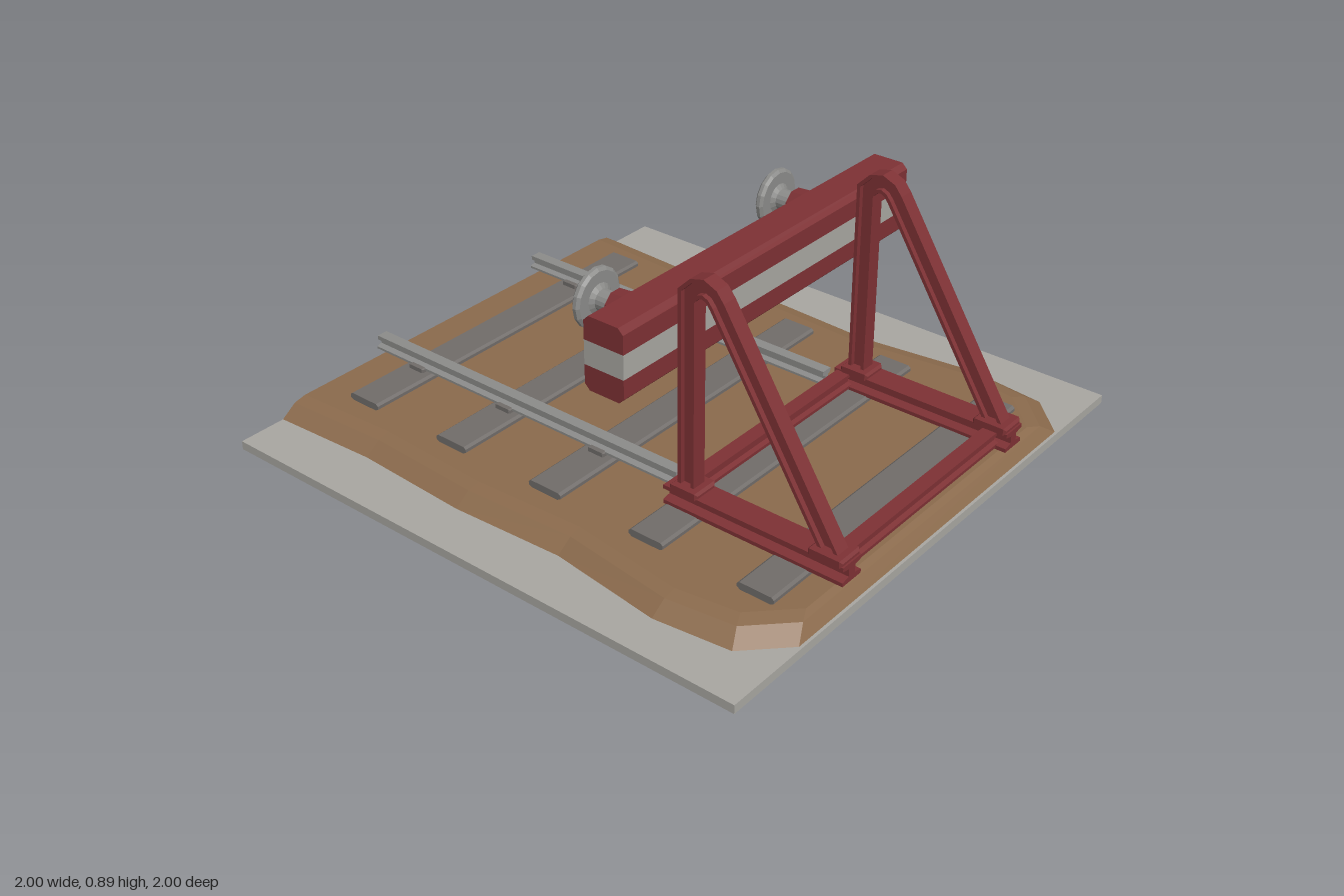
import * as THREE from 'three';

const mat = (name, color) => {
  const m = new THREE.MeshStandardMaterial({ color, flatShading: true });
  m.name = name;
  return m;
};

export function createModel() {
  const stone = mat('paleGrey', 0xa8a6a1);
  const earth = mat('earthBrown', 0x8a6a4c);
  const tie = mat('sleeperGrey', 0x706c69);
  const steel = mat('steelGrey', 0x8b8b89);
  const red = mat('darkRed', 0x7d3134);

  const root = new THREE.Group();
  root.name = 'trackEndStop';
  const add = (name, geo, material, x = 0, y = 0, z = 0, parent = root) => {
    const m = new THREE.Mesh(geo, material);
    m.name = name;
    m.position.set(x, y, z);
    parent.add(m);
  };
  const shape = pts => new THREE.Shape(pts.map(p => new THREE.Vector2(p[0], p[1])));

  // Outline of [x, y] points extruded along z and centred
  const extrudeZ = (pts, length) =>
    new THREE.ExtrudeGeometry(shape(pts), { depth: length, bevelEnabled: false }).translate(0, 0, -length / 2);
  // Outline of [z, y] points extruded along x and centred
  const extrudeX = (pts, width) => extrudeZ(pts, width).rotateY(-Math.PI / 2);
  // Box with chamfered edges
  const chamferBox = (w, h, d, c) => {
    const a = w / 2 - c, b = h / 2 - c;
    const g = new THREE.ExtrudeGeometry(shape([[-a, -b], [a, -b], [a, b], [-a, b]]), {
      depth: d - 2 * c, bevelEnabled: true, bevelSize: c, bevelThickness: c, bevelSegments: 1
    });
    return g.translate(0, 0, c - d / 2);
  };
  const mirrored = half => half.concat(half.map(p => [-p[0], ...p.slice(1)]).reverse());
  // I section: flange width w, height h, flange thickness t, web s
  const iSection = (w, h, t, s) => mirrored([[w / 2, 0], [w / 2, t], [s / 2, t * 1.5],
    [s / 2, h - t * 1.5], [w / 2, h - t], [w / 2, h]]);

  add('groundSlab', new THREE.BoxGeometry(2, 0.03, 2), stone, 0, 0.015, 0);

  // Ballast bed: three stacked outlines with a flat top
  const edge = [[0.83, -1], [0.81, -0.62], [0.83, -0.2], [0.81, 0.2], [0.86, 0.6], [0.83, 0.86], [0.70, 0.99]];
  const ring = (inset, y) =>
    mirrored(edge.map(([x, z]) => [x - inset, y, z > 0.8 ? z - inset * 0.5 : z]));
  const rings = [ring(0, 0.03), ring(0.055, 0.068), ring(0.1, 0.077)];
  const n = rings[0].length, idx = [];
  for (let k = 0; k < 2; k++) {
    for (let i = 0; i < n; i++) {
      const a = k * n + i, b = k * n + (i + 1) % n;
      idx.push(a, a + n, b, b, a + n, b + n);
    }
  }
  for (let i = 0; i < n / 2 - 1; i++) {
    const a = 2 * n + i, d = 3 * n - 1 - i;
    idx.push(a, d, a + 1, a + 1, d, d - 1);
  }
  const bed = new THREE.BufferGeometry();
  bed.setAttribute('position', new THREE.Float32BufferAttribute(rings.flat(2), 3));
  bed.setIndex(idx);
  const bedFlat = bed.toNonIndexed();
  bedFlat.computeVertexNormals();
  add('ballastBed', bedFlat, earth);

  // Sleepers and rail chairs
  const sleeperPts = mirrored([[0.04, 0.07], [0.065, 0.084], [0.065, 0.095], [0.056, 0.102]]);
  for (const z of [-0.8, -0.4, 0, 0.4, 0.8]) {
    add('sleeper', extrudeX(sleeperPts, 1.3), tie, 0, 0, z);
    if (z < 0.3) for (const s of [-1, 1])
      add('railChair', chamferBox(0.08, 0.02, 0.065, 0.004), tie, s * 0.38, 0.107, z);
  }

  // Rails: wide foot, thin web, thick head
  const railPts = mirrored([[0.026, 0.108], [0.026, 0.116], [0.007, 0.122],
    [0.007, 0.135], [0.02, 0.14], [0.02, 0.155]]);

  // Post, rounded crown and brace follow one path of [z, y] points
  const path = [[0.40, 0.165], [0.40, 0.82], [0.43, 0.85], [0.46, 0.858], [0.49, 0.845], [0.51, 0.82], [0.922, 0.165]]
    .map(p => new THREE.Vector2(...p));
  const normal = (a, b) => new THREE.Vector2(a.y - b.y, b.x - a.x).normalize();
  const offset = d => path.map((p, i) => {
    const n0 = i > 0 ? normal(path[i - 1], p) : normal(p, path[1]);
    const n1 = i < path.length - 1 ? normal(p, path[i + 1]) : n0;
    const m = n0.clone().add(n1).normalize();
    const q = p.clone().addScaledVector(m, d / m.dot(n0));
    return [q.x, q.y];
  });
  const band = (a, b, width) => extrudeX([...offset(a), ...offset(b).reverse()], width);

  // Bumper head: flat disc with chamfered rim, and its stem
  const headPts = [[0, 0.115], [0.035, 0.115], [0.035, 0.065], [0.05, 0.054], [0.088, 0.054],
    [0.098, 0.046], [0.098, 0.034], [0.088, 0.025], [0, 0.022]].map(p => new THREE.Vector2(p[0], -p[1]));
  const sleeve = (r0, r1, len) =>
    new THREE.CylinderGeometry(r0, r1, len, 8).rotateY(Math.PI / 8).rotateX(-Math.PI / 2);

  for (const s of [-1, 1]) {
    const side = s > 0 ? 'left' : 'right';
    add('rail', extrudeZ(railPts, 1.31), steel, s * 0.38, 0, -0.345);

    const frame = new THREE.Group();
    frame.name = side + 'Frame';
    frame.position.x = s * 0.44;
    root.add(frame);
    add('baseBeam', extrudeZ(iSection(0.09, 0.065, 0.013, 0.03), 0.65), red, 0, 0.1, 0.655, frame);
    add('outerFlange', band(0.018, 0.03, 0.052), red, 0, 0, 0, frame);
    add('innerFlange', band(-0.03, -0.018, 0.052), red, 0, 0, 0, frame);
    add('frameWeb', band(-0.019, 0.019, 0.018), red, 0, 0, 0, frame);
    add('postFoot', chamferBox(0.096, 0.024, 0.105, 0.008), red, 0, 0.17, 0.405, frame);
    add('braceFoot', chamferBox(0.096, 0.024, 0.12, 0.008), red, 0, 0.17, 0.915, frame);

    // Bumpers point toward the track
    const bumper = new THREE.Group();
    bumper.name = side + 'Bumper';
    bumper.position.set(s * 0.44, 0.68, 0);
    root.add(bumper);
    add('bumperCollar', sleeve(0.058, 0.066, 0.06), red, 0, 0, 0.2, bumper);
    add('bumperSleeve', sleeve(0.052, 0.056, 0.06), red, 0, 0, 0.145, bumper);
    add('bumperHead', new THREE.LatheGeometry(headPts, 16).rotateX(-Math.PI / 2), steel, 0, 0, 0, bumper);
  }

  // Cross beams joining the two frames
  for (const z of [0.365, 0.92])
    add('crossBeam', extrudeX(iSection(0.05, 0.055, 0.011, 0.02), 0.82), red, 0, 0.105, z);

  // Main beam with a pale band all round
  const z0 = 0.225, z1 = 0.37, c = 0.018;
  add('beamLower', extrudeX([[z0 + c, 0.56], [z1 - c, 0.56], [z1, 0.56 + c], [z1, 0.64], [z0, 0.64], [z0, 0.56 + c]], 1.4), red);
  add('beamBand', extrudeX([[z0, 0.64], [z1, 0.64], [z1, 0.72], [z0, 0.72]], 1.4), stone);
  add('beamUpper', extrudeX([[z0, 0.72], [z1, 0.72], [z1, 0.8 - c], [z1 - c, 0.8], [z0 + c, 0.8], [z0, 0.8 - c]], 1.4), red);

  return root;
}
